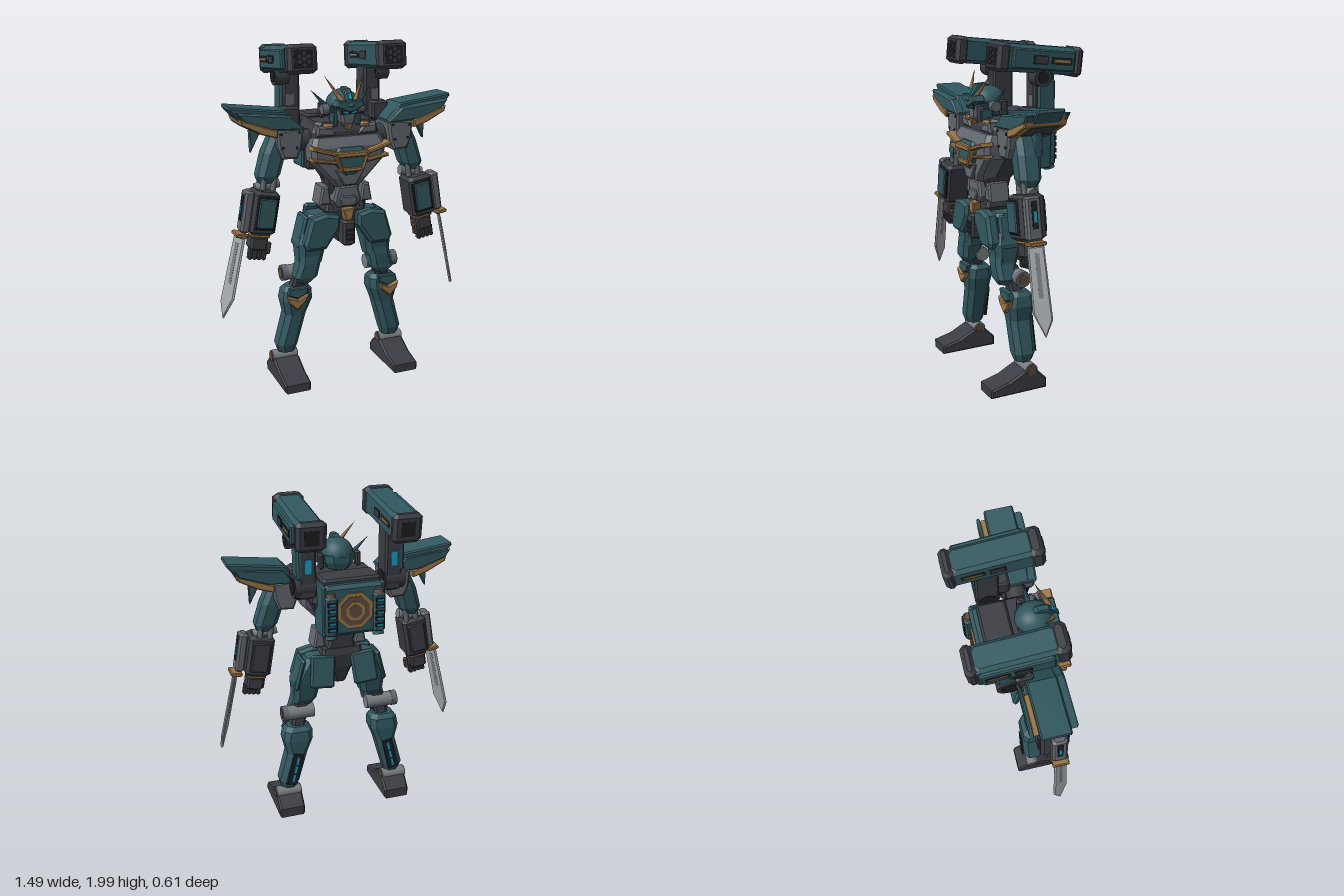
import * as THREE from 'three';

const mat = (name, color) => Object.assign(new THREE.MeshStandardMaterial({ color }), { name });

export function createModel() {
  const root = new THREE.Group();
  root.name = 'robot';
  const teal = mat('teal armour', 0x31585f), dark = mat('dark frame', 0x3b3d44), black = mat('recess', 0x1d1f23);
  const grey = mat('grey armour', 0x62676e), pale = mat('light metal', 0x767c81), steel = mat('blade steel', 0xa4a9ab);
  const gold = mat('bronze trim', 0x9c7747), cyan = mat('cyan light', 0x149fc4), copper = mat('copper joint', 0x5f4c40);

  // Adds a part; pair = true also adds its mirror image on -x
  function add(name, geo, material, pair = false) {
    const g = geo.index ? geo.toNonIndexed() : geo;
    const put = (geometry, n) => {
      const m = new THREE.Mesh(geometry, material);
      m.name = n;
      root.add(m);
    };
    if (!pair) return put(g, name);
    put(g, name + 'Left');
    const r = g.clone().scale(-1, 1, 1);
    for (const a of Object.values(r.attributes)) {
      const k = a.itemSize;
      for (let i = 0; i < a.count; i += 3)
        for (let c = 0; c < k; c++) {
          const p = (i + 1) * k + c, q = p + k, t = a.array[p];
          a.array[p] = a.array[q];
          a.array[q] = t;
        }
    }
    put(r, name + 'Right');
  }
  const at = (g, x, y, z, rx = 0, ry = 0, rz = 0) => g.applyMatrix4(new THREE.Matrix4().compose(
    new THREE.Vector3(x, y, z), new THREE.Quaternion().setFromEuler(new THREE.Euler(rx, ry, rz, 'ZYX')), new THREE.Vector3(1, 1, 1)));

  // Stacked chamfered rectangles, bottom to top: [y, centreX, centreZ, width, depth]
  function loft(rows, ch = 0.015) {
    const pos = [], idx = [], n = 8;
    for (const [y, cx, cz, w, d] of rows) {
      const a = w / 2, b = d / 2, c = Math.min(ch, a * 0.8, b * 0.8);
      for (const [x, z] of [[a, b - c], [a - c, b], [c - a, b], [-a, b - c], [-a, c - b], [c - a, -b], [a - c, -b], [a, c - b]])
        pos.push(cx + x, y, cz + z);
    }
    for (let r = 0; r < rows.length - 1; r++)
      for (let i = 0; i < n; i++) {
        const a = r * n + i, b = r * n + (i + 1) % n;
        idx.push(a, a + n, b, b, a + n, b + n);
      }
    const top = (rows.length - 1) * n;
    for (let i = 1; i < n - 1; i++) idx.push(0, i, i + 1, top, top + i + 1, top + i);
    const g = new THREE.BufferGeometry();
    g.setAttribute('position', new THREE.Float32BufferAttribute(pos, 3));
    g.setIndex(idx);
    const flat = g.toNonIndexed();
    flat.computeVertexNormals();
    return flat;
  }
  const block = (w, h, d, c = 0.012) => loft([[-h / 2, 0, 0, w - 2 * c, d - 2 * c], [c - h / 2, 0, 0, w, d],
    [h / 2 - c, 0, 0, w, d], [h / 2, 0, 0, w - 2 * c, d - 2 * c]], c);
  const box = (w, h, d) => new THREE.BoxGeometry(w, h, d);
  // Outline in x,y extruded from z0 to z1
  const plate = (pts, z0, z1, b = 0.006) => new THREE.ExtrudeGeometry(new THREE.Shape(pts.map(p => new THREE.Vector2(...p))),
    { depth: z1 - z0 - 2 * b, bevelEnabled: b > 0, bevelThickness: b, bevelSize: b, bevelOffset: -b, bevelSegments: 1 }).translate(0, 0, z0 + b);
  // Outline in z,y extruded from x0 to x1
  const slab = (pts, x0, x1, b = 0.006) => plate(pts, 0, x1 - x0, b).rotateY(-Math.PI / 2).translate(x1, 0, 0);
  const rodX = (r, len, seg = 20) => new THREE.CylinderGeometry(r, r, len, seg).rotateZ(Math.PI / 2);
  const bothSides = pts => [...pts, ...pts.slice().reverse().map(([x, y]) => [-x, y])];

  // Feet and ankles
  add('foot', slab([[0.31, 0], [0.31, 0.05], [0.2, 0.078], [0.1, 0.13], [0.02, 0.125], [-0.045, 0.06], [-0.045, 0]], 0.267, 0.427, 0.01), dark, true);
  add('ankle', at(rodX(0.038, 0.15), 0.35, 0.13, 0.055), pale, true);
  add('ankleCap', at(rodX(0.03, 0.164), 0.35, 0.13, 0.055), copper, true);

  // Shins with knee guards and rear light panels
  add('shin', loft([[0.17, 0.34, 0.07, 0.1, 0.1], [0.22, 0.34, 0.07, 0.125, 0.13], [0.41, 0.288, 0.07, 0.125, 0.14],
    [0.5, 0.28, 0.075, 0.18, 0.155], [0.56, 0.275, 0.075, 0.17, 0.14], [0.585, 0.275, 0.08, 0.13, 0.1]], 0.03), teal, true);
  add('kneeGuard', plate([[0.23, 0.54], [0.29, 0.515], [0.355, 0.54], [0.345, 0.5], [0.3, 0.455], [0.245, 0.5]], 0.14, 0.175), gold, true);
  add('kneeCrest', plate([[0.225, 0.585], [0.34, 0.585], [0.35, 0.545], [0.29, 0.52], [0.235, 0.545]], 0.13, 0.165), teal, true);
  add('calfPanel', at(box(0.062, 0.21, 0.016), 0.311, 0.31, 0, 0, 0, 0.23), black, true);
  for (let i = 0; i < 3; i++) add('calfLight' + i, at(box(0.014, 0.05, 0.008), 0.325 - i * 0.014, 0.25 + i * 0.06, -0.008, 0, 0, 0.23), cyan, true);
  add('knee', at(rodX(0.044, 0.185), 0.262, 0.665, 0.08), pale, true);
  add('kneeCap', at(rodX(0.047, 0.035), 0.35, 0.665, 0.08), grey, true);
  add('kneeHub', at(rodX(0.032, 0.04), 0.352, 0.665, 0.08), copper, true);
  add('kneeLink', loft([[0.56, 0.275, 0.085, 0.08, 0.08], [0.72, 0.24, 0.11, 0.09, 0.09]]), dark, true);

  // Thighs and hip armour
  add('lowerThigh', loft([[0.615, 0.245, 0.145, 0.07, 0.07], [0.655, 0.245, 0.145, 0.14, 0.11], [0.74, 0.222, 0.14, 0.13, 0.13], [0.8, 0.21, 0.135, 0.14, 0.13]], 0.025), teal, true);
  add('upperThigh', loft([[0.735, 0.215, 0.13, 0.14, 0.13], [0.86, 0.205, 0.125, 0.17, 0.17], [0.96, 0.165, 0.11, 0.16, 0.16], [1.02, 0.145, 0.1, 0.13, 0.12]], 0.03), teal, true);
  add('hipArmour', at(plate([[0.055, 1.02], [0.14, 1.04], [0.23, 1.02], [0.275, 0.87], [0.255, 0.83], [0.14, 0.83], [0.055, 0.95]], -0.03, 0.045, 0.018), 0, 0, 0.2), teal, true);
  add('sideSkirt', at(block(0.03, 0.2, 0.14), 0.255, 0.92, 0.105, 0, 0, 0.25), teal, true);
  add('rearSkirt', at(block(0.15, 0.2, 0.035), 0.13, 0.95, 0.0, 0.2, 0, 0.1), teal, true);
  add('pelvis', loft([[0.84, 0, 0.11, 0.07, 0.1], [0.95, 0, 0.1, 0.13, 0.15], [1.04, 0, 0.1, 0.25, 0.18], [1.08, 0, 0.1, 0.24, 0.16]]), dark);
  add('crotchGuard', block(0.075, 0.15, 0.09).translate(0, 0.91, 0.2), dark);
  for (let i = 0; i < 3; i++) add('crotchVent' + i, box(0.045, 0.016, 0.008).translate(0, 0.93 - i * 0.028, 0.246), black);
  add('beltTrim', plate(bothSides([[0.018, 0.985], [0.035, 1.055]]), 0.17, 0.235), gold);

  // Waist
  add('waist', loft([[1.05, 0, 0.11, 0.2, 0.16], [1.12, 0, 0.1, 0.15, 0.15], [1.21, 0, 0.1, 0.2, 0.17]]), dark);
  add('abdomen', plate(bothSides([[0.055, 1.06], [0.085, 1.1], [0.065, 1.19]]), 0.13, 0.215, 0.012), grey);
  add('abdomenPlate', plate(bothSides([[0.04, 1.07], [0.055, 1.11], [0.04, 1.13]]), 0.21, 0.228), grey);
  add('waistGuard', plate([[0.09, 1.08], [0.165, 1.08], [0.145, 1.185], [0.105, 1.185]], 0.06, 0.19, 0.01), grey, true);

  // Chest
  add('torso', loft([[1.19, 0, 0.08, 0.17, 0.16], [1.3, 0, 0.06, 0.3, 0.24], [1.42, 0, 0.045, 0.42, 0.3], [1.5, 0, 0.045, 0.4, 0.3], [1.555, 0, 0.04, 0.34, 0.26]], 0.03), dark);
  add('chestArmour', loft([[1.19, 0, 0.16, 0.17, 0.12], [1.24, 0, 0.165, 0.25, 0.14], [1.34, 0, 0.17, 0.44, 0.14], [1.42, 0, 0.17, 0.45, 0.15], [1.475, 0, 0.15, 0.4, 0.13]], 0.025), grey);
  add('lowerChestPlate', plate(bothSides([[0.035, 1.2], [0.09, 1.29]]), 0.2, 0.25), grey);
  add('chestCore', loft([[1.26, 0, 0.23, 0.08, 0.05], [1.31, 0, 0.235, 0.16, 0.08], [1.38, 0, 0.235, 0.2, 0.08], [1.42, 0, 0.225, 0.15, 0.06]]), teal);
  const strip = (a, b, t) => {
    const n = new THREE.Vector2(b[1] - a[1], a[0] - b[0]).normalize().multiplyScalar(t / 2);
    return [[a[0] + n.x, a[1] + n.y], [b[0] + n.x, b[1] + n.y], [b[0] - n.x, b[1] - n.y], [a[0] - n.x, a[1] - n.y]];
  };
  add('chestBand', plate(strip([0.085, 1.385], [0.235, 1.43], 0.022), 0.2, 0.285), gold, true);
  add('chestLowerBand', plate(strip([0.08, 1.335], [0.23, 1.36], 0.018), 0.2, 0.265), gold, true);
  add('chestSideTrim', plate(strip([0.06, 1.29], [0.1, 1.4], 0.016), 0.23, 0.288), gold, true);
  add('chestCenterBand', block(0.18, 0.03, 0.07, 0.006).translate(0, 1.385, 0.258), gold);
  add('chestChevron', plate(bothSides([[0.05, 1.285], [0.075, 1.31]]), 0.24, 0.285), gold);
  add('collar', plate([[0.06, 1.48], [0.185, 1.48], [0.18, 1.54], [0.1, 1.53]], 0.06, 0.205, 0.012), grey, true);
  add('collarVent', block(0.06, 0.035, 0.05).translate(0.11, 1.53, 0.18), gold, true);
  add('neck', new THREE.CylinderGeometry(0.05, 0.06, 0.1, 12).translate(0, 1.55, 0.11), dark);
  add('backPanel', at(block(0.13, 0.12, 0.02), 0, 1.28, -0.05, 0.35), grey);

  // Head: helmet, face, crest, horns and side fins
  add('helmet', new THREE.SphereGeometry(0.1, 24, 10, 0, Math.PI * 2, 0, Math.PI / 2).scale(0.95, 0.95, 1.05).translate(0, 1.635, 0.125), teal);
  add('helmetBase', loft([[1.56, 0, 0.09, 0.13, 0.1], [1.6, 0, 0.1, 0.17, 0.14], [1.645, 0, 0.125, 0.18, 0.19]], 0.04), teal);
  add('face', loft([[1.525, 0, 0.19, 0.04, 0.05], [1.555, 0, 0.185, 0.08, 0.08], [1.62, 0, 0.18, 0.11, 0.1]]), grey);
  add('chin', loft([[1.515, 0, 0.21, 0.025, 0.04], [1.545, 0, 0.215, 0.045, 0.04]], 0.006), gold);
  add('eyeBand', box(0.1, 0.022, 0.008).translate(0, 1.613, 0.232), black);
  add('eye', at(box(0.03, 0.01, 0.008), 0.025, 1.614, 0.236, 0, 0, 0.25), cyan, true);
  add('brow', plate(bothSides([[0.012, 1.615], [0.09, 1.65], [0.07, 1.68]]), 0.18, 0.25), teal);
  add('crest', slab([[0.1, 1.71], [0.14, 1.745], [0.2, 1.74], [0.26, 1.65], [0.24, 1.64], [0.19, 1.68]], -0.02, 0.02), teal);
  add('forehead', at(box(0.02, 0.035, 0.01), 0, 1.7, 0.234, -0.6), cyan);
  add('horn', at(new THREE.ConeGeometry(0.018, 0.19, 4), 0.075, 1.735, 0.185, -0.4, 0, -0.53), gold, true);
  add('sideFin', at(new THREE.ConeGeometry(0.018, 0.15, 4), 0.132, 1.675, 0.11, -0.15, 0, -0.75), teal, true);
  add('ear', at(rodX(0.03, 0.04, 12), 0.107, 1.62, 0.13), grey, true);
  add('earGuard', block(0.03, 0.09, 0.05, 0.008).translate(0.11, 1.61, 0.08), dark, true);
  add('cheek', block(0.025, 0.07, 0.07, 0.006).translate(0.07, 1.565, 0.165), teal, true);

  // Backpack with octagonal plate and lit vents
  add('backpackMount', block(0.34, 0.33, 0.165).translate(0, 1.41, -0.075), dark);
  add('backpack', block(0.36, 0.3, 0.07, 0.02).translate(0, 1.4, -0.165), teal);
  add('backpackSide', block(0.025, 0.3, 0.16, 0.008).translate(0.172, 1.4, -0.115), teal, true);
  const octagon = r => new THREE.CylinderGeometry(r, r, 0.02, 8).rotateX(Math.PI / 2).rotateZ(Math.PI / 8);
  [[0.112, gold, 'Rim'], [0.09, copper, 'Inset'], [0.058, gold, 'Hub'], [0.04, copper, 'Core']].forEach(([r, m, n], i) =>
    add('octagon' + n, octagon(r).translate(0, 1.4, -0.2 - i * 0.004), m));
  add('thruster', block(0.07, 0.24, 0.06, 0.015).translate(0.14, 1.38, -0.205), teal, true);
  add('thrusterCap', new THREE.CylinderGeometry(0.022, 0.028, 0.02, 12).translate(0.14, 1.505, -0.205), copper, true);
  add('thrusterNozzle', at(new THREE.CylinderGeometry(0.028, 0.034, 0.05, 12), 0.14, 1.268, -0.2, 0.25), teal, true);
  for (let i = 0; i < 5; i++) {
    add('ventSlot' + i, box(0.052, 0.024, 0.008).translate(0.14, 1.31 + i * 0.037, -0.235), black, true);
    add('ventLight' + i, box(0.036, 0.009, 0.008).translate(0.14, 1.31 + i * 0.037, -0.239), cyan, true);
  }

  // Cannon pylons
  add('pylon', block(0.1, 0.37, 0.13).translate(0.25, 1.655, -0.08), dark, true);
  add('pylonCover', block(0.09, 0.2, 0.11).translate(0.268, 1.68, -0.09), teal, true);
  add('pylonPlate', box(0.05, 0.07, 0.008).translate(0.265, 1.66, -0.014), grey, true);
  add('pylonLight', box(0.035, 0.08, 0.008).translate(0.25, 1.66, -0.147), cyan, true);
  add('pylonBase', block(0.1, 0.11, 0.1).translate(0.275, 1.575, 0.0), dark, true);
  add('lowerPivot', at(rodX(0.07, 0.12), 0.262, 1.535, -0.08), dark, true);
  add('lowerPivotHub', at(rodX(0.048, 0.13), 0.262, 1.535, -0.08), black, true);
  add('upperPivot', at(rodX(0.052, 0.08), 0.31, 1.795, -0.045), dark, true);
  add('upperPivotHub', at(rodX(0.034, 0.09), 0.31, 1.795, -0.045), black, true);

  // Shoulder cannons, tilted up at the front
  const gun = (name, g, m, x, y, z) => add(name, at(g.translate(x, y, z), 0.268, 1.89, -0.035, -0.1), m, true);
  gun('cannonBody', block(0.155, 0.15, 0.46, 0.02), teal, 0, 0, 0);
  gun('cannonMuzzle', block(0.17, 0.16, 0.08, 0.02), dark, 0, 0, 0.225);
  gun('cannonBreech', block(0.17, 0.165, 0.06, 0.02), dark, 0, 0, -0.235);
  gun('cannonSidePlate', block(0.03, 0.11, 0.38, 0.008), teal, 0.085, 0, -0.01);
  gun('muzzleFace', box(0.11, 0.1, 0.008), black, 0, 0, 0.263);
  gun('breechFace', box(0.08, 0.08, 0.008), black, 0, 0, -0.263);
  for (let i = 0; i < 7; i++) {
    const r = i ? 0.03 : 0, a = i * Math.PI / 3 + Math.PI / 6;
    gun('barrel' + i, new THREE.CylinderGeometry(0.012, 0.012, 0.008, 6).rotateX(Math.PI / 2), dark, r * Math.cos(a), r * Math.sin(a), 0.268);
  }
  for (const [s, n, x] of [[1, 'Outer', 0.098], [-1, 'Inner', 0.075]]) {
    gun('cannonHatch' + n, box(0.008, 0.05, 0.09), black, s * x, 0, 0.015);
    gun('cannonHatchLid' + n, box(0.008, 0.034, 0.074), dark, s * (x + 0.003), 0, 0.015);
    gun('cannonSlot' + n, box(0.008, 0.04, 0.13), black, s * x, 0, -0.115);
    gun('cannonStripe' + n, box(0.008, 0.014, 0.1), gold, s * (x + 0.004), 0, -0.115);
  }

  // Shoulders and winged pauldrons
  add('shoulderJoint', at(rodX(0.06, 0.2), 0.26, 1.45, 0.09), dark, true);
  add('shoulderBlock', plate([[0.255, 1.54], [0.415, 1.53], [0.405, 1.43], [0.38, 1.37], [0.295, 1.365], [0.27, 1.43]], 0.0, 0.2, 0.012), grey, true);
  for (const [i, p] of [[0.285, 1.515], [0.39, 1.51], [0.3, 1.43], [0.38, 1.435]].entries())
    add('bolt' + i, new THREE.CylinderGeometry(0.008, 0.008, 0.008, 8).rotateX(Math.PI / 2).translate(p[0], p[1], 0.201), black, true);
  add('pauldron', plate([[0.25, 1.53], [0.345, 1.63], [0.665, 1.67], [0.67, 1.655], [0.61, 1.585], [0.45, 1.53], [0.36, 1.53]], 0, 0.165, 0.008), teal, true);
  add('pauldronFront', plate([[0.25, 1.53], [0.335, 1.61], [0.635, 1.64], [0.6, 1.59], [0.45, 1.535], [0.36, 1.53]], 0.15, 0.208, 0.01), teal, true);
  add('pauldronRear', plate([[0.3, 1.54], [0.36, 1.62], [0.64, 1.645], [0.61, 1.6], [0.45, 1.545]], -0.048, -0.028), teal, true);
  add('pauldronRearTrim', plate([[0.38, 1.55], [0.4, 1.61], [0.63, 1.635], [0.61, 1.6], [0.45, 1.545]], -0.03, 0.005), gold, true);
  add('pauldronTrim', plate([[0.41, 1.535], [0.62, 1.607], [0.612, 1.575], [0.5, 1.518], [0.415, 1.493]], -0.04, 0.212), gold, true);
  add('pauldronUnderside', at(box(0.13, 0.008, 0.17), 0.556, 1.546, 0.085, 0, 0, 0.47), dark, true);
  add('pauldronSpike', plate([[0.47, 1.525], [0.54, 1.54], [0.535, 1.4]], 0.06, 0.1), teal, true);

  // Arms
  add('upperArm', loft([[1.23, 0.455, 0.1, 0.09, 0.1], [1.27, 0.445, 0.1, 0.13, 0.13], [1.4, 0.405, 0.09, 0.13, 0.14], [1.52, 0.36, 0.09, 0.11, 0.12]], 0.03), teal, true);
  add('elbow', at(rodX(0.03, 0.14), 0.45, 1.21, 0.105, 0, 0, -0.17), pale, true);
  for (const z of [0.07, 0.14]) for (const x of [0.42, 0.48])
    add('elbowRod', at(new THREE.CylinderGeometry(0.016, 0.016, 0.09, 10), x, 1.22, z, 0, 0, 0.17), grey, true);
  const arm = (name, g, m, x, y, z) => add(name, at(g.translate(x, y, z), 0.49, 1.07, 0.125, 0, 0, 0.17), m, true);
  arm('forearm', block(0.15, 0.25, 0.16, 0.018), dark, 0, 0, 0);
  arm('forearmFrame', block(0.12, 0.19, 0.02, 0.006), black, -0.004, 0.005, 0.078);
  arm('forearmPanel', block(0.1, 0.17, 0.02, 0.006), teal, -0.004, 0.005, 0.086);
  arm('forearmBack', block(0.1, 0.18, 0.02, 0.006), dark, 0, 0, -0.082);
  arm('bladeHousing', block(0.055, 0.24, 0.09), grey, 0.098, 0.0, 0.02);
  arm('housingSlot', box(0.008, 0.15, 0.035), black, 0.124, 0.02, 0.02);
  arm('housingLight', box(0.008, 0.06, 0.018), cyan, 0.128, 0.01, 0.02);
  arm('bladeGuard', block(0.07, 0.022, 0.1, 0.005), gold, 0.115, -0.135, 0.02);
  arm('wristCuff', block(0.11, 0.022, 0.11, 0.005), gold, 0, -0.132, 0);
  add('blade', at(slab([[-0.042, 0], [0.048, 0], [0.052, -0.36], [-0.005, -0.495], [-0.052, -0.4]], -0.009, 0.009, 0.008), 0.628, 0.945, 0.145, 0, -0.45, 0.22), steel, true);
  add('fuller', at(box(0.02, 0.24, 0.024), 0.663, 0.79, 0.145, 0, -0.45, 0.22), pale, true);
  arm('palm', block(0.1, 0.085, 0.1), dark, 0.0, -0.18, 0.0);
  for (let i = 0; i < 4; i++) arm('finger' + i, block(0.024, 0.075, 0.04, 0.006), dark, -0.04 + i * 0.027, -0.24, 0.025);
  arm('thumb', block(0.025, 0.07, 0.03, 0.006), copper, -0.06, -0.205, 0.03);
  return root;
}
